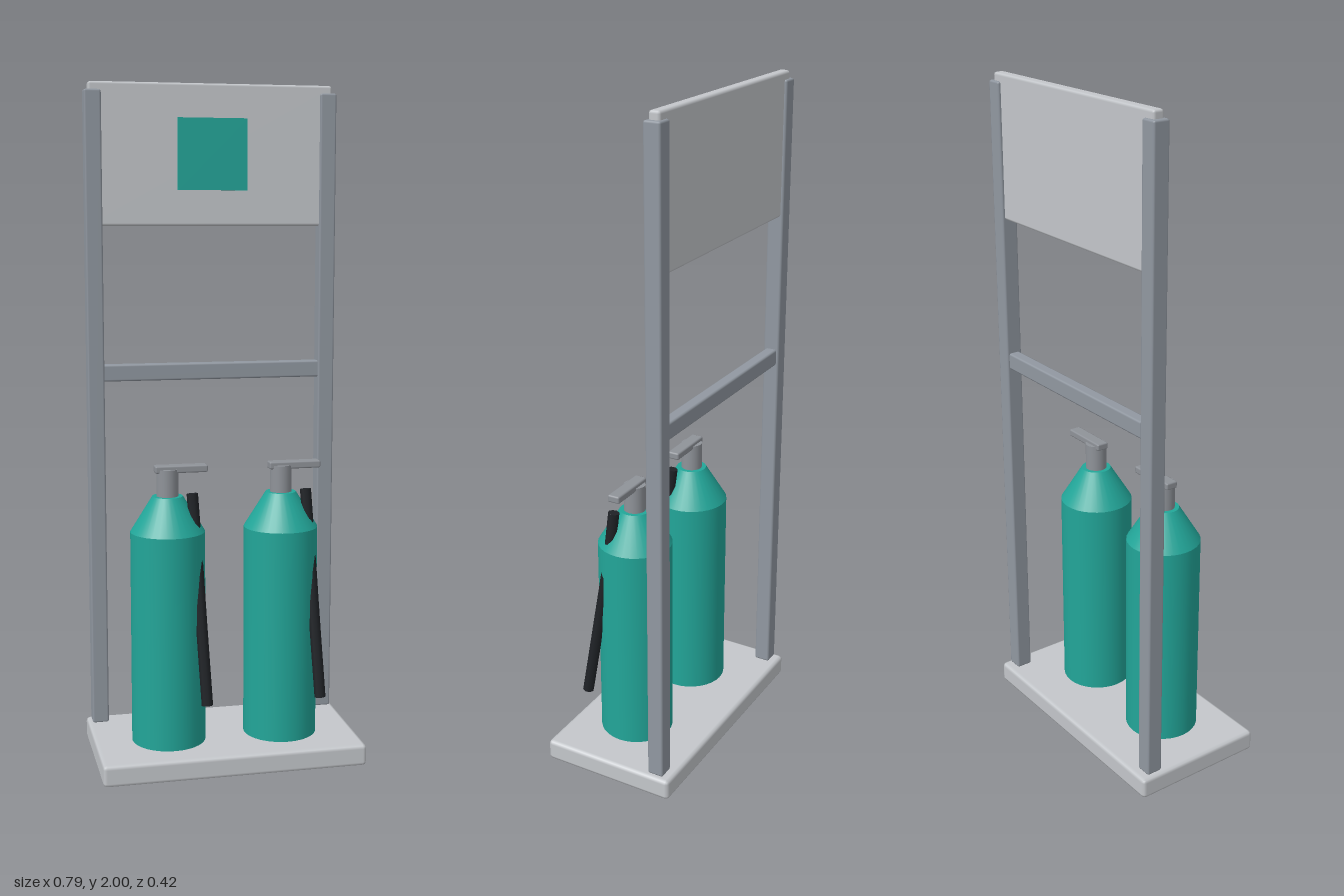
import * as THREE from 'three';
import { RoundedBoxGeometry } from 'three/addons/geometries/RoundedBoxGeometry.js';

const material = (name, color) => {
  const m = new THREE.MeshStandardMaterial({ color });
  m.name = name;
  return m;
};

export function createModel() {
  const lightGrey = material('light grey', 0xc4c7cb);
  const steel = material('steel grey', 0x9198a1);
  const teal = material('teal', 0x22a699);
  const valveGrey = material('valve grey', 0x8f9399);
  const black = material('black rubber', 0x1f2226);

  const model = new THREE.Group();
  model.name = 'extinguisherStand';

  const add = (parent, name, geometry, mat, x = 0, y = 0, z = 0) => {
    const mesh = new THREE.Mesh(geometry, mat);
    mesh.name = name;
    mesh.position.set(x, y, z);
    parent.add(mesh);
    return mesh;
  };
  // Box with a single chamfer on its edges
  const box = (w, h, d, bevel) => new RoundedBoxGeometry(w, h, d, 1, bevel);

  // Stand: base, crossbar, header board and its square sign
  add(model, 'base', box(0.785, 0.065, 0.42, 0.012), lightGrey, 0, 0.0325, 0);
  add(model, 'crossbar', box(0.68, 0.05, 0.036, 0.006), steel, 0, 1.15, -0.16);
  add(model, 'headerBoard', box(0.735, 0.415, 0.034, 0.008), lightGrey, 0, 1.7925, -0.16);
  add(model, 'sign', new THREE.BoxGeometry(0.21, 0.21, 0.009), teal, 0, 1.795, -0.1385);

  // Bottle outline, drawn as separate strips so the shoulder edges stay crisp
  const strips = [
    ['bottleBody', 0.11, 0.06, 0.11, 0.7],
    ['bottleShoulder', 0.11, 0.7, 0.045, 0.805],
    ['bottleTop', 0.045, 0.805, 0, 0.805],
  ];

  // Hose drops from beside the valve, through the shoulder, down the front
  const hosePath = new THREE.CatmullRomCurve3([
    new THREE.Vector3(0.068, 0.815, 0.03),
    new THREE.Vector3(0.077, 0.65, 0.047),
    new THREE.Vector3(0.084, 0.45, 0.078),
    new THREE.Vector3(0.094, 0.2, 0.117),
  ]);

  for (const side of [-1, 1]) {
    const label = side > 0 ? 'left' : 'right';
    add(model, label + 'Post', box(0.05, 1.91, 0.05, 0.006), steel, side * 0.355, 1.022, -0.16);

    const bottle = new THREE.Group();
    bottle.name = label + 'Extinguisher';
    bottle.position.set(side * 0.171, 0, 0.025);
    model.add(bottle);

    for (const [name, r0, y0, r1, y1] of strips) {
      const profile = [new THREE.Vector2(r0, y0), new THREE.Vector2(r1, y1)];
      add(bottle, name, new THREE.LatheGeometry(profile, 32), teal);
    }
    add(bottle, 'valveNeck', new THREE.CylinderGeometry(0.032, 0.032, 0.09, 24), valveGrey, 0, 0.84, 0);
    add(bottle, 'valveHandle', box(0.156, 0.022, 0.038, 0.005), valveGrey, 0.04, 0.885, 0);

    // Hose tube with closed ends
    const hose = new THREE.Group();
    hose.name = 'hose';
    bottle.add(hose);
    add(hose, 'hoseTube', new THREE.TubeGeometry(hosePath, 10, 0.017, 8), black);
    for (const t of [0, 1]) {
      const p = hosePath.getPointAt(t);
      const outward = hosePath.getTangentAt(t).multiplyScalar(t ? 1 : -1);
      const cap = add(hose, 'hoseEnd', new THREE.CircleGeometry(0.017, 8), black, p.x, p.y, p.z);
      cap.quaternion.setFromUnitVectors(new THREE.Vector3(0, 0, 1), outward);
    }
  }
  return model;
}
